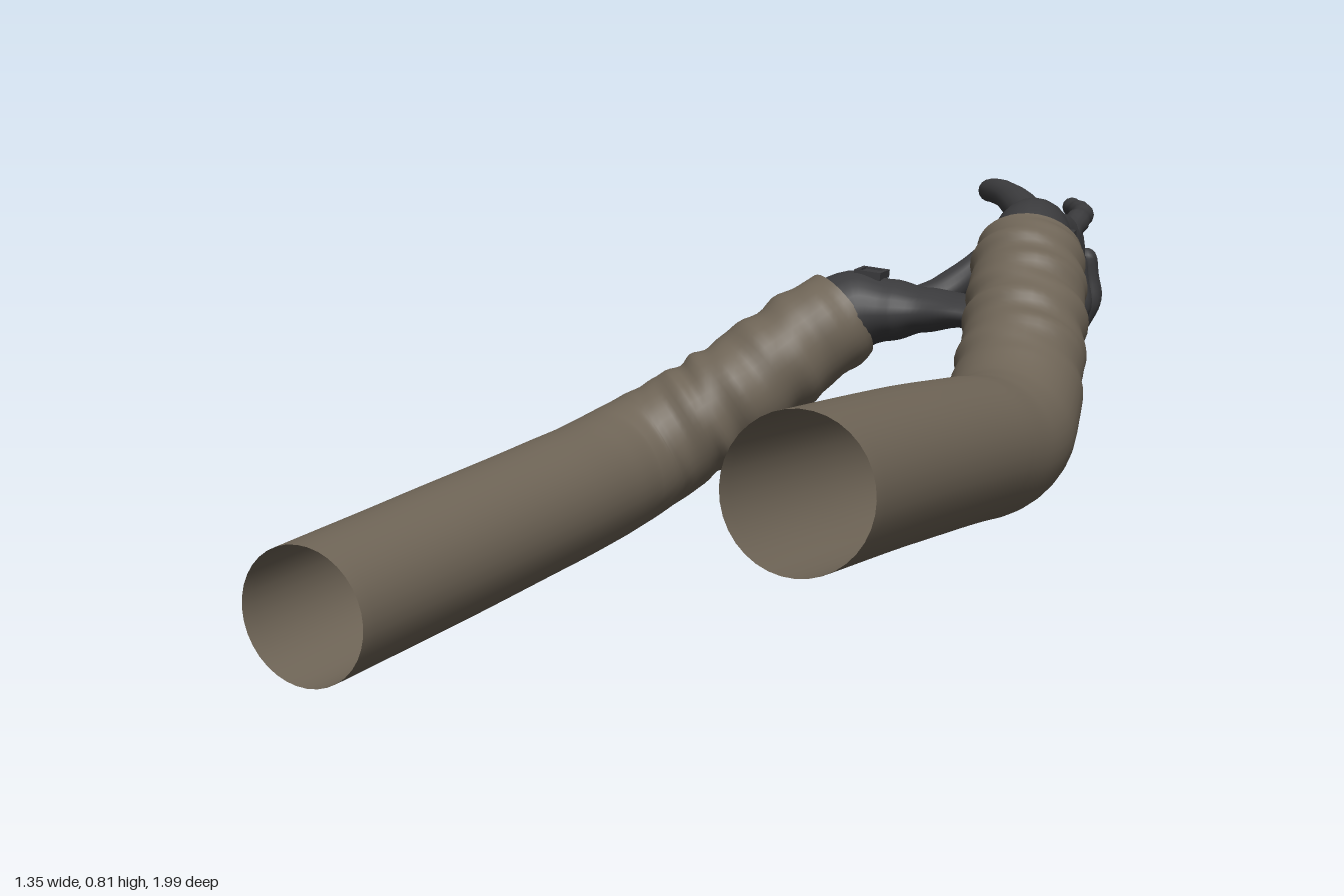
import * as THREE from 'three';

const sleeveMat = new THREE.MeshStandardMaterial({ color: 0x6e6456, side: THREE.DoubleSide });
sleeveMat.name = 'brownSleeve';
const gloveMat = new THREE.MeshStandardMaterial({ color: 0x3a3a3c });
gloveMat.name = 'charcoalGlove';

const V = (p) => new THREE.Vector3(...p);
const Y = [0, 1, 0], Z = [0, 0, 1];

// Sweeps an ellipse along a smooth path; radii holds [side, up] per path point.
function sweep(path, radii, { steps = 32, sides = 16, ref = Y, cap = true, ripple = () => 1 } = {}) {
  const curve = new THREE.CatmullRomCurve3(path.map(V), false, 'centripetal');
  const last = path.length - 1, refV = V(ref), pos = [], idx = [];
  const radiusAt = (t) => {
    const k = Math.min(Math.floor(t * last), last - 1), f = t * last - k;
    const s = f * f * (3 - 2 * f);
    return [0, 1].map((i) => radii[k][i] + (radii[k + 1][i] - radii[k][i]) * s);
  };
  let rings = 0;
  const ring = (t, angle) => {
    const c = curve.getPoint(t), T = curve.getTangent(t);
    const S = refV.clone().cross(T).normalize(), N = T.clone().cross(S);
    const [a, b] = radiusAt(t), scale = Math.cos(angle);
    c.addScaledVector(T, Math.min(a, b) * Math.sin(angle));
    for (let j = 0; j < sides; j++) {
      const q = (j / sides) * Math.PI * 2, w = scale * ripple(t * last, q);
      const p = c.clone().addScaledVector(S, a * w * Math.cos(q)).addScaledVector(N, b * w * Math.sin(q));
      pos.push(p.x, p.y, p.z);
    }
    rings++;
  };
  const capAngles = [1.55, 1.2, 0.8, 0.4];
  if (cap) capAngles.forEach((a) => ring(0, -a));
  for (let i = 0; i <= steps; i++) ring(i / steps, 0);
  if (cap) [...capAngles].reverse().forEach((a) => ring(1, a));
  for (let i = 0; i < rings - 1; i++) {
    for (let j = 0; j < sides; j++) {
      const k = (j + 1) % sides, a = i * sides + j, b = i * sides + k;
      idx.push(a, b, a + sides, b, b + sides, a + sides);
    }
  }
  const g = new THREE.BufferGeometry();
  g.setAttribute('position', new THREE.Float32BufferAttribute(pos, 3));
  g.setIndex(idx);
  g.computeVertexNormals();
  return g;
}

function add(group, name, geometry, material) {
  const m = new THREE.Mesh(geometry, material);
  m.name = name;
  group.add(m);
  return m;
}

// Cloth folds appear only past the elbow
function folds(s, q) {
  const k = THREE.MathUtils.smoothstep(s, 5, 6.2);
  return 1 + k * (0.035 * Math.sin(s * 7.5 + 1.3 * Math.sin(q + 0.6)) + 0.02 * Math.sin(s * 12 + 2 * q));
}

function addSleeve(group, path) {
  const r = [0.131, 0.13, 0.127, 0.125, 0.124, 0.121, 0.115, 0.111, 0.107, 0.099];
  add(group, 'sleeve', sweep(path, r.map((v) => [v, v]), { steps: 90, sides: 36, cap: false, ripple: folds }), sleeveMat);
}

// Finger with slight swellings at the joints
function addFinger(group, name, path, r, ref = Y) {
  const radii = path.map((_, i) => {
    const v = r * (1.12 - 0.3 * (i / (path.length - 1)));
    return [v, v];
  });
  const bulge = (s) => 1 + 0.08 * Math.cos(s * Math.PI * 2);
  add(group, name, sweep(path, radii, { steps: 28, sides: 12, ref, ripple: bulge }), gloveMat);
}

// Wrist fastener: a small frame with a thin plate inside
function addFastener(group, position, rotation) {
  const f = new THREE.Group();
  f.name = 'wristFastener';
  for (const s of [-1, 1]) {
    add(f, 'fastenerSide', new THREE.BoxGeometry(0.008, 0.06, 0.016), gloveMat).position.x = s * 0.024;
    add(f, 'fastenerEnd', new THREE.BoxGeometry(0.056, 0.008, 0.016), gloveMat).position.y = s * 0.028;
  }
  add(f, 'fastenerPlate', new THREE.BoxGeometry(0.048, 0.052, 0.008), gloveMat);
  f.position.set(...position);
  f.rotation.set(...rotation);
  group.add(f);
}

const fingerNames = ['indexFinger', 'middleFinger', 'ringFinger', 'littleFinger'];

// Arm on -x: hand reaches across, palm up, fingers curling upward
function crossingArm() {
  const g = new THREE.Group();
  g.name = 'crossingArm';
  addSleeve(g, [[-0.55, 0.132, 0.645], [-0.49, 0.16, 0.3], [-0.42, 0.195, -0.1], [-0.388, 0.213, -0.28],
    [-0.365, 0.23, -0.37], [-0.325, 0.258, -0.435], [-0.25, 0.31, -0.485], [-0.175, 0.365, -0.53],
    [-0.09, 0.44, -0.605], [0, 0.515, -0.69]]);
  add(g, 'gloveHand', sweep(
    [[-0.04, 0.485, -0.655], [0.02, 0.52, -0.695], [0.1, 0.525, -0.712], [0.17, 0.528, -0.715], [0.25, 0.53, -0.715], [0.33, 0.522, -0.71]],
    [[0.088, 0.085], [0.092, 0.084], [0.086, 0.062], [0.072, 0.045], [0.08, 0.033], [0.085, 0.026]],
    { sides: 24 }), gloveMat);
  add(g, 'thumb', sweep(
    [[0.13, 0.525, -0.745], [0.19, 0.56, -0.785], [0.24, 0.61, -0.84], [0.272, 0.645, -0.9], [0.288, 0.655, -0.98]],
    [[0.045, 0.04], [0.038, 0.034], [0.027, 0.026], [0.025, 0.023], [0.015, 0.015]]), gloveMat);
  fingerNames.forEach((name, i) => {
    const z0 = -0.778 + i * 0.045, z1 = -0.785 + i * 0.058, d = [0, 0.012, 0.008, -0.015][i];
    addFinger(g, name, [[0.3, 0.525, z0], [0.38 + d, 0.512, (z0 + z1) / 2], [0.46 + d, 0.51, z1],
      [0.492 + d, 0.56, z1], [0.485 + d, 0.635 + d, z1 + 0.004]], 0.024, Z);
  });
  addFastener(g, [0.055, 0.598, -0.71], [-Math.PI / 2, 0.1, 0]);
  return g;
}

// Arm on +x: hand upright, index finger pointing away, the rest curled inward
function pointingArm() {
  const g = new THREE.Group();
  g.name = 'pointingArm';
  addSleeve(g, [[0.475, 0.482, 0.985], [0.505, 0.458, 0.6], [0.535, 0.433, 0.28], [0.547, 0.422, 0.16],
    [0.551, 0.432, 0.07], [0.546, 0.468, -0.005], [0.535, 0.53, -0.09], [0.52, 0.595, -0.175],
    [0.503, 0.655, -0.25], [0.488, 0.705, -0.32]]);
  add(g, 'gloveHand', sweep(
    [[0.495, 0.675, -0.28], [0.485, 0.708, -0.34], [0.477, 0.705, -0.42], [0.475, 0.685, -0.5], [0.483, 0.665, -0.57], [0.487, 0.64, -0.64]],
    [[0.082, 0.085], [0.078, 0.092], [0.066, 0.088], [0.05, 0.082], [0.036, 0.085], [0.027, 0.085]],
    { sides: 24 }), gloveMat);
  add(g, 'thumb', sweep(
    [[0.46, 0.735, -0.44], [0.415, 0.762, -0.53], [0.36, 0.782, -0.6], [0.32, 0.782, -0.65], [0.3, 0.77, -0.71]],
    [[0.042, 0.04], [0.034, 0.034], [0.026, 0.026], [0.024, 0.023], [0.015, 0.015]]), gloveMat);
  addFinger(g, fingerNames[0], [[0.487, 0.705, -0.61], [0.485, 0.722, -0.69], [0.476, 0.727, -0.77],
    [0.452, 0.727, -0.84], [0.42, 0.727, -0.905]], 0.022);
  for (let i = 1; i < 4; i++) {
    const y = 0.71 - i * 0.053, z = -0.735 + i * 0.025;
    addFinger(g, fingerNames[i], [[0.487, y + 0.01, -0.62], [0.478, y, z + 0.03], [0.435, y, z],
      [0.38, y, z + 0.012], [0.325, y, z + 0.035]], 0.021);
  }
  addFastener(g, [0.553, 0.708, -0.372], [0, Math.PI / 2 + 0.15, 0]);
  return g;
}

export function createModel() {
  const model = new THREE.Group();
  model.name = 'glovedArms';
  model.add(crossingArm(), pointingArm());
  return model;
}
